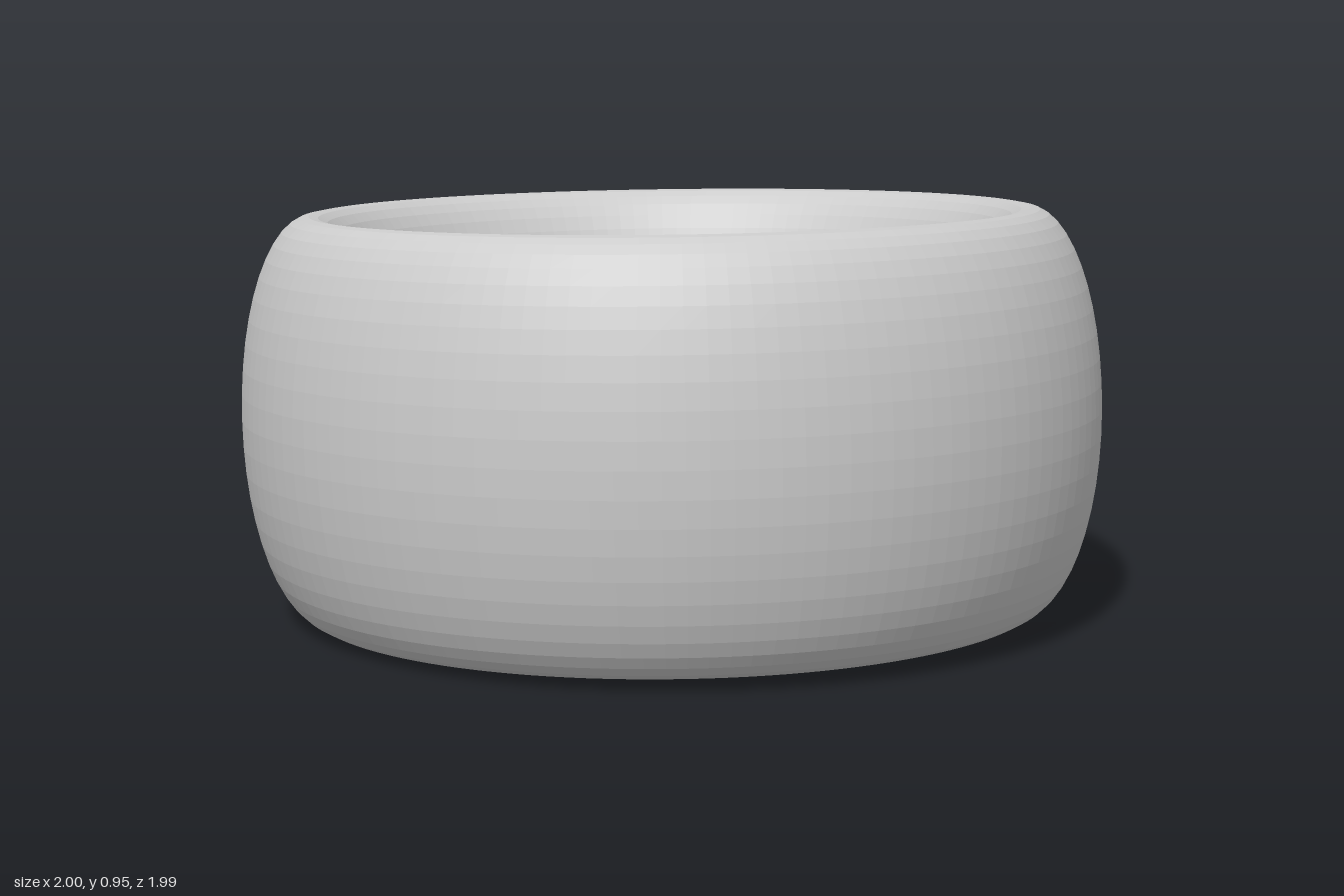
import * as THREE from 'three';

export function createModel() {
  const group = new THREE.Group();
  group.name = 'ring';
  const material = new THREE.MeshStandardMaterial({ color: 0xcccccc, flatShading: true });

  // Wide band: a torus with a tall elliptical section, lying flat
  const geometry = new THREE.TorusGeometry(0.834, 0.165, 48, 128);
  geometry.rotateX(-Math.PI / 2);
  geometry.scale(1, 0.461 / 0.165, 0.995);

  // Slight lean, higher at the front and at the left
  geometry.rotateX(-0.015);
  geometry.rotateZ(0.005);

  // Stand on the ground, centred
  geometry.computeBoundingBox();
  const box = geometry.boundingBox;
  const centre = box.getCenter(new THREE.Vector3());
  geometry.translate(-centre.x, -box.min.y, -centre.z);

  const band = new THREE.Mesh(geometry, material);
  band.name = 'band';
  group.add(band);
  return group;
}
